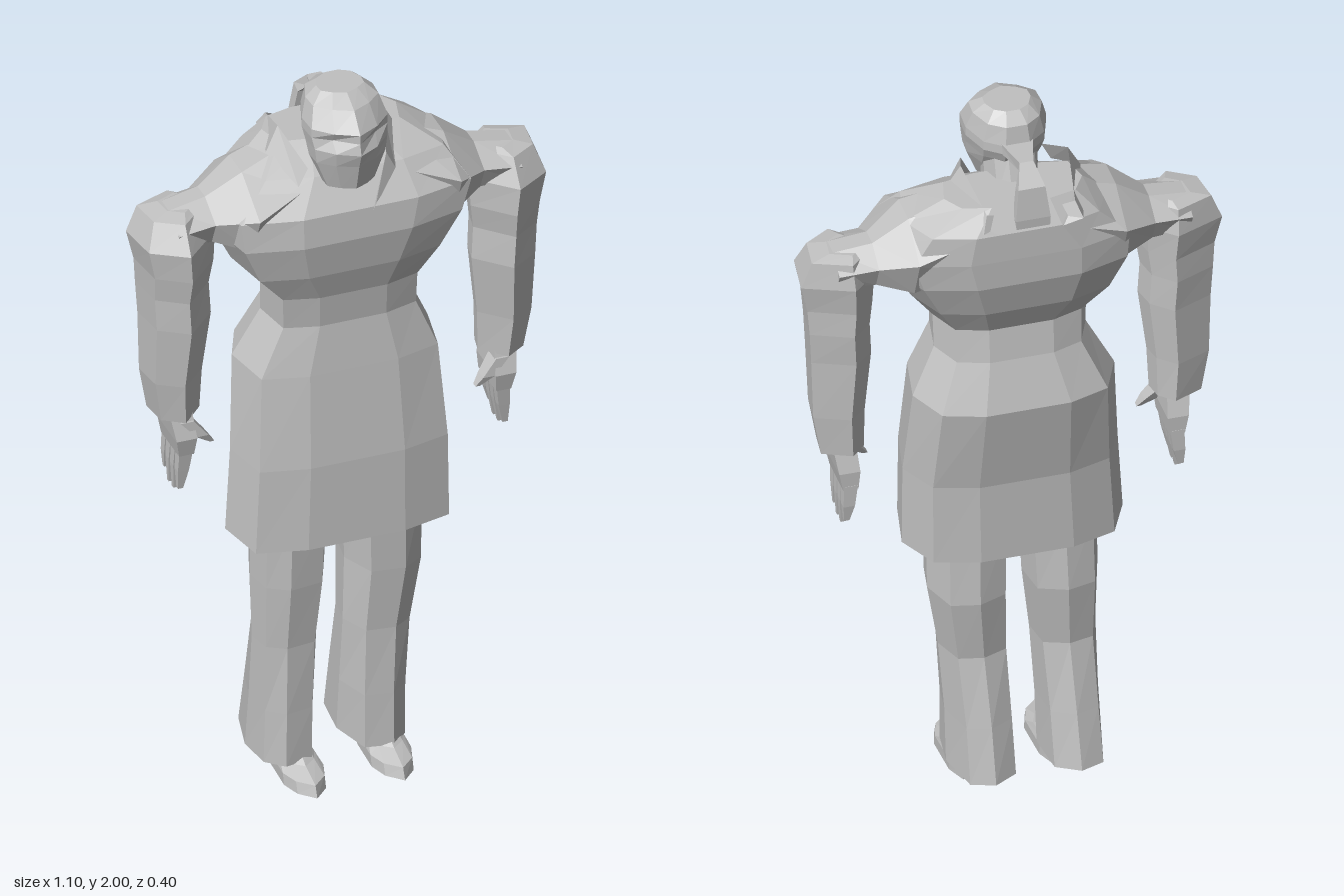
import * as THREE from 'three';

const CX = -0.022; // body axis

// Skin a stack of equal-length rings, capped at both ends
function loft(rings) {
  const v = [], n = rings[0].length;
  const tri = (...p) => p.forEach(q => v.push(...q));
  const mid = r => [0, 1, 2].map(k => r.reduce((s, p) => s + p[k], 0) / n);
  const lo = rings[0], hi = rings[rings.length - 1], cl = mid(lo), ch = mid(hi);
  for (let j = 0; j < n; j++) {
    const k = (j + 1) % n;
    for (let i = 0; i < rings.length - 1; i++) {
      const a = rings[i], b = rings[i + 1];
      tri(a[j], a[k], b[k]);
      tri(a[j], b[k], b[j]);
    }
    tri(cl, lo[k], lo[j]);
    tri(ch, hi[j], hi[k]);
  }
  return finish(v);
}

function finish(v) {
  const g = new THREE.BufferGeometry();
  g.setAttribute('position', new THREE.Float32BufferAttribute(v, 3));
  g.computeVertexNormals();
  return g;
}

// Fit a unit outline into [y, xMin, xMax, zBack, zFront]; side -1 mirrors the outline
function fit(outline, rows, side = 1) {
  return rows.map(([y, x0, x1, z0, z1]) => {
    const r = outline.map(([a, b]) => [
      side * ((x0 + x1) / 2 + a * (x1 - x0) / 2), y, (z0 + z1) / 2 + b * (z1 - z0) / 2]);
    return side < 0 ? r.reverse() : r;
  });
}

const COAT = [[1, -.1], [.82, -.78], [.42, -1], [-.42, -1], [-.82, -.78],
  [-1, -.1], [-.9, .8], [-.45, 1], [.45, 1], [.9, .8]];
const ARM = [[1, -.55], [-.2, -1], [-.8, -.5], [-.95, .15], [0, 1], [.85, .5]];
const LEG = [[1, 0], [.65, -.85], [-.1, -1], [-.85, -.75], [-1, .1], [-.6, .9], [.3, 1], [.85, .7]];
const HEAD = [[1, -.1], [.75, -.7], [.3, -1], [-.3, -1], [-.75, -.7], [-1, -.1],
  [-.97, .4], [-.55, .75], [0, 1], [.55, .75], [.97, .4]];
const SHOE = [[.9, -.6], [.5, -1], [-.5, -1], [-.9, -.6], [-1, .3], [-.7, .7], [0, 1], [.7, .7], [1, .3]];
const BOX = [[1, 1], [1, -1], [-1, -1], [-1, 1]];
const YOKE = [[.7, -1], [-.7, -1], [-1, .2], [-.35, 1], [.2, 1], [1, .2]]; // z, y

export function createModel() {
  const root = new THREE.Group();
  root.name = 'standingFigure';
  const grey = new THREE.MeshStandardMaterial({ color: 0xc0c0c0, flatShading: true, side: THREE.DoubleSide });
  grey.name = 'plain grey';
  const add = (name, geo, parent = root) => {
    const m = new THREE.Mesh(geo, grey);
    m.name = name;
    parent.add(m);
  };

  // Long coat from hem to shoulders
  add('coat', loft(fit(COAT, [
    [.72, -.31, .265, -.14, .17],
    [.95, -.295, .265, -.14, .158],
    [1.2, -.275, .25, -.185, .125],
    [1.33, -.205, .19, -.14, .105],
    [1.42, -.21, .19, -.125, .115],
    [1.5, -.285, .25, -.165, .14],
    [1.6, -.335, .31, -.195, .157],
    [1.68, -.345, .34, -.197, .148],
    [1.76, -.25, .28, -.195, .085],
    [1.82, -.18, .18, -.155, .0],
  ])));

  // Neck and head
  add('neck', loft(fit(HEAD, [
    [1.68, CX - .1, CX + .1, -.12, .1],
    [1.78, CX - .07, CX + .07, -.08, .1],
    [1.88, CX - .07, CX + .07, -.04, .1],
  ])));
  const head = fit(HEAD, [
    [1.755, CX - .065, CX + .065, .04, .165],
    [1.83, CX - .095, CX + .095, -.005, .185],
    [1.87, CX - .1, CX + .1, -.04, .2],
    [1.9, CX - .105, CX + .105, -.055, .192],
    [1.925, CX - .105, CX + .105, -.055, .192],
    [1.975, CX - .09, CX + .09, -.045, .15],
    [2, CX - .06, CX + .06, -.01, .1],
  ]);
  // Shallow eye sockets beside the nose ridge
  for (const j of [7, 9]) head[3][j][2] -= .014;
  add('head', loft(head));

  // Hair tail arching from the head into the collar: [y, z, half width]
  const tail = [[1.7, -.175, .04], [1.79, -.177, .045],
    [1.87, -.165, .035], [1.91, -.125, .018], [1.915, -.03, .045]];
  add('hairTail', loft(tail.map(([y, z, w], i) => {
    const a = tail[Math.max(i - 1, 0)], b = tail[Math.min(i + 1, tail.length - 1)];
    const dy = b[0] - a[0], dz = b[1] - a[1], l = Math.hypot(dy, dz), t = .015;
    return BOX.map(([p, q]) => [CX + p * w, y - q * t * dz / l, z + q * t * dy / l]);
  })));

  for (const s of [1, -1]) {
    const side = s > 0 ? 'left' : 'right';

    // Open collar half: lower and upper edges; only the left one ends in a lapel
    const low = [[.05, 1.67, .152], [.13, 1.75, .1], [.175, 1.8, -.01], [.13, 1.77, -.195], [0, 1.74, -.195]];
    const top = [[.055, 1.69, .157], [.105, 1.8, .1], [.14, 1.865, -.02], [.115, 1.81, -.17], [.02, 1.78, -.15]];
    const v = [], put = (...ps) => ps.forEach(([x, y, z]) => v.push(CX + s * x, y, z));
    for (let i = s > 0 ? 0 : 1; i < 4; i++) {
      put(low[i], low[i + 1], top[i + 1]);
      put(low[i], top[i + 1], top[i]);
    }
    add(side + 'Collar', finish(v));

    // Sloping shoulder joining coat and sleeve: [x, yLow, yHigh, zBack, zFront]
    const yoke = [
      [.14, 1.62, 1.81, -.18, .1],
      [.27, 1.58, 1.77, -.18, .14],
      [.36, 1.6, 1.705, -.125, .065],
      [.46, 1.6, 1.69, -.115, .07],
    ].map(([x, y0, y1, z0, z1]) => {
      const r = YOKE.map(([a, b]) => [s * x, (y0 + y1) / 2 + b * (y1 - y0) / 2, (z0 + z1) / 2 + a * (z1 - z0) / 2]);
      return s > 0 ? r.reverse() : r;
    });
    add(side + 'Shoulder', loft(yoke.map(r => r.reverse())));

    // Sleeve
    add(side + 'Sleeve', loft(fit(ARM, [
      [1.085, .37, .495, -.1, .045],
      [1.2, .365, .515, -.105, .06],
      [1.37, .345, .52, -.11, .085],
      [1.46, .35, .525, -.115, .085],
      [1.53, .34, .53, -.115, .1],
      [1.61, .335, .548, -.125, .105],
      [1.68, .36, .52, -.11, .06],
      [1.69, .38, .47, -.08, .02],
    ], s)));

    // Hand: palm, four fingers and thumb
    const hand = new THREE.Group();
    hand.name = side + 'Hand';
    root.add(hand);
    add('palm', loft(fit(BOX, [
      [.98, .405, .445, -.095, .03],
      [1.03, .4, .455, -.095, .04],
      [1.1, .405, .465, -.07, .015],
    ], s)), hand);
    [.875, .86, .86, .885].forEach((tip, i) => {
      const z = .015 - i * .032;
      add('finger', loft(fit(BOX, [
        [tip, .428, .442, z - .012, z - .001],
        [.93, .415, .445, z - .017, z + .006],
        [.99, .407, .443, z - .015, z + .013],
      ], s)), hand);
    });
    add('thumb', loft(fit(BOX, [
      [1.005, .35, .362, .012, .028],
      [1.03, .368, .4, .0, .035],
      [1.075, .405, .44, -.02, .03],
    ], s)), hand);

    // Trouser leg flaring over the heel; c is the centre line of the row
    const mx = rows => rows.map(([y, a, b, z0, z1, c = CX]) => [y, a + s * c, b + s * c, z0, z1]);
    add(side + 'Trouser', loft(fit(LEG, mx([
      [.05, .038, .202, -.175, .105, -.042],
      [.2, .038, .2, -.14, .1, -.04],
      [.39, .035, .205, -.095, .095, -.034],
      [.57, .027, .222, -.115, .11],
      [.76, .02, .222, -.1, .115],
    ]), s)));

    // Shoe with tapered toe
    add(side + 'Shoe', loft(fit(SHOE, mx([
      [0, .063, .172, -.06, .198],
      [.03, .063, .172, -.06, .185],
      [.05, .072, .165, -.055, .12],
      [.075, .085, .15, -.04, .07],
    ]), s)));
  }
  return root;
}
